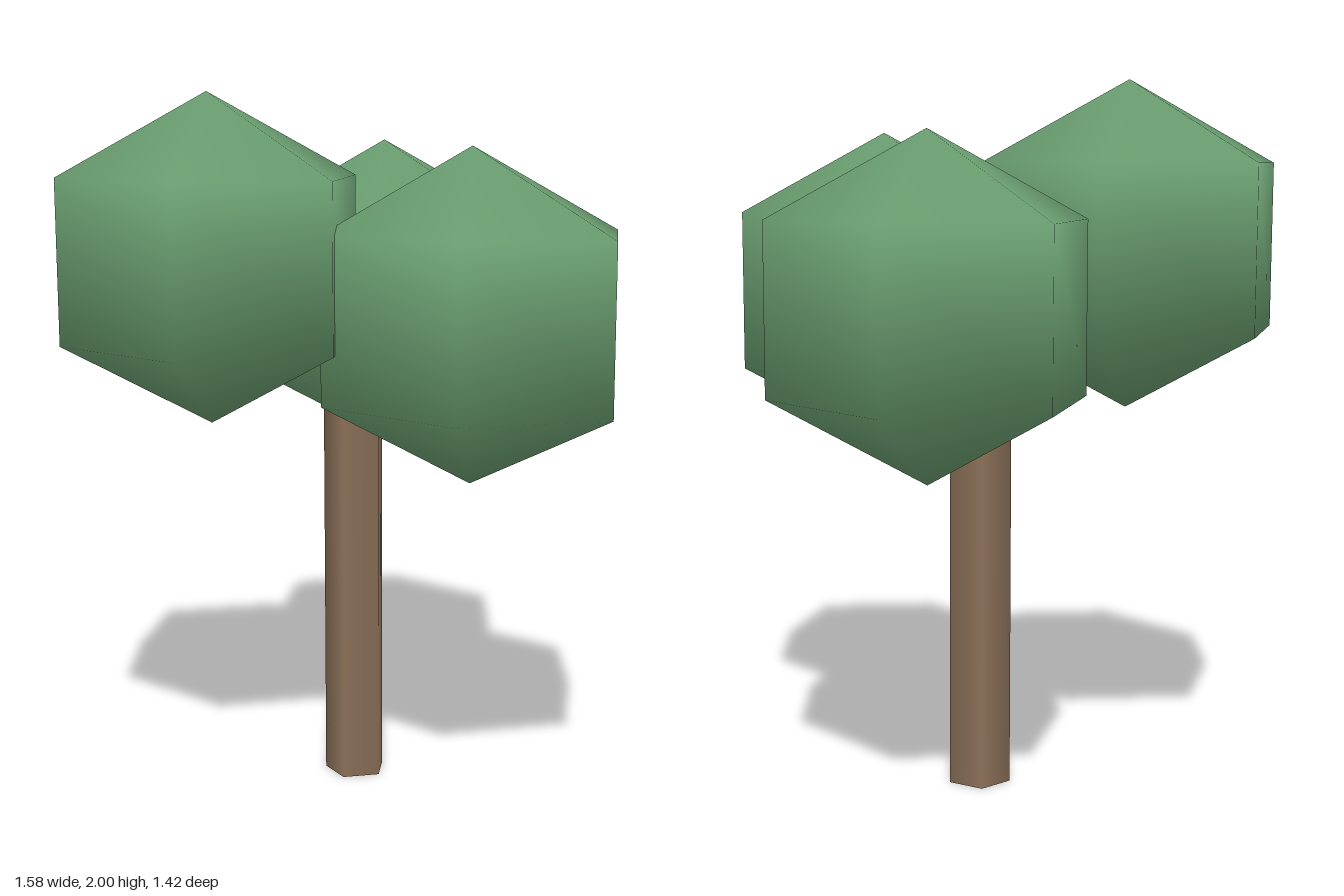
import * as THREE from 'three';

const leafGreen = new THREE.MeshStandardMaterial({ name: 'leafGreen', color: 0x6b9f71 });
const barkBrown = new THREE.MeshStandardMaterial({ name: 'barkBrown', color: 0x8b7058 });

export function createModel() {
  const tree = new THREE.Group();
  tree.name = 'tree';

  // Five-sided trunk with one corner towards +x
  const height = 1.3;
  const trunk = new THREE.Mesh(
    new THREE.CylinderGeometry(0.091, 0.091, height, 5, 1, false, Math.PI / 2),
    barkBrown
  );
  trunk.name = 'trunk';
  trunk.position.set(-0.108, height / 2, 0);
  tree.add(trunk);

  // Three leaf clumps: coarse smooth-shaded spheres, stretched along x
  const clump = new THREE.SphereGeometry(0.46, 6, 3).scale(1.184, 1, 1);
  const clumps = [
    ['frontFoliage', -0.32, 1.54, 0.367],
    ['backFoliage', -0.32, 1.397, -0.367],
    ['sideFoliage', 0.32, 1.397, 0],
  ];
  for (const [name, x, y, z] of clumps) {
    const mesh = new THREE.Mesh(clump, leafGreen);
    mesh.name = name;
    mesh.position.set(x, y, z);
    tree.add(mesh);
  }
  return tree;
}
